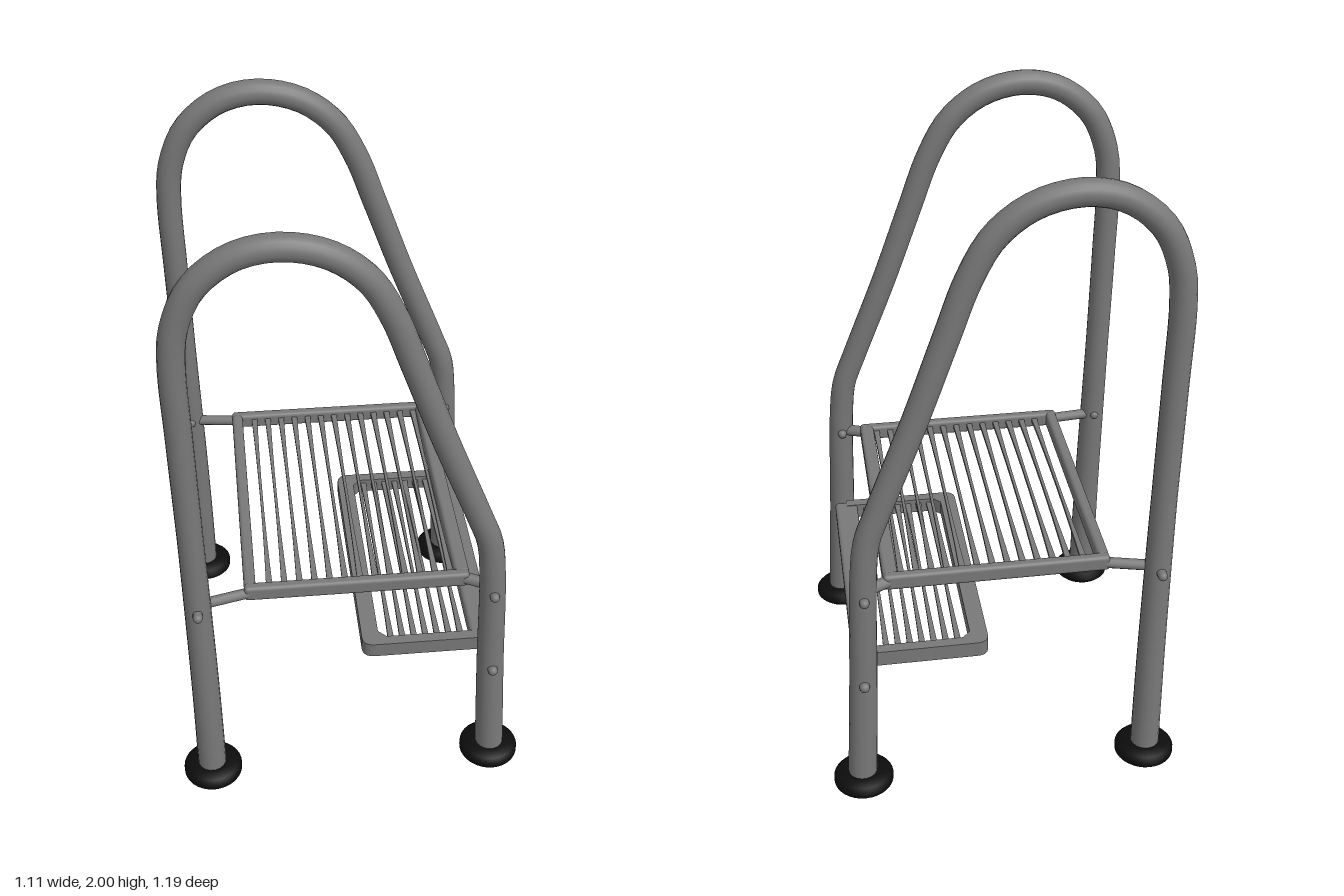
import * as THREE from 'three';
import { RoundedBoxGeometry } from 'three/addons/geometries/RoundedBoxGeometry.js';

export function createModel() {
  const model = new THREE.Group();
  model.name = 'stepLadder';
  const steel = new THREE.MeshStandardMaterial({ color: 0x787878 });
  steel.name = 'grey steel';
  const rubber = new THREE.MeshStandardMaterial({ color: 0x0c0c0c });
  rubber.name = 'black rubber';

  const add = (name, geo, mat, parent = model) => {
    const m = new THREE.Mesh(geo, mat);
    m.name = name;
    parent.add(m);
    return m;
  };
  const bar = (name, parent, x, y, z, w, h, d, r = 0.012) =>
    add(name, new RoundedBoxGeometry(w, h, d, 3, r), steel, parent).position.set(x, y, z);
  const rod = (name, parent, a, b, r) => {
    const path = new THREE.LineCurve3(new THREE.Vector3(...a), new THREE.Vector3(...b));
    add(name, new THREE.TubeGeometry(path, 1, r, 12), steel, parent);
    for (const p of [a, b]) add(name + 'End', new THREE.SphereGeometry(r, 12, 8), steel, parent).position.set(...p);
  };

  // Bent handrail whose two ends are the legs: x, y and distance from the centre
  const railPoints = [
    [-0.465, 0.02, 0.5], [-0.468, 0.4, 0.488], [-0.477, 0.9, 0.471], [-0.487, 1.35, 0.465],
    [-0.491, 1.62, 0.465], [-0.478, 1.73, 0.465], [-0.425, 1.85, 0.465], [-0.32, 1.935, 0.465],
    [-0.2, 1.96, 0.465], [-0.07, 1.93, 0.464], [0.035, 1.85, 0.463], [0.105, 1.73, 0.464],
    [0.165, 1.57, 0.466], [0.26, 1.31, 0.47], [0.375, 1.02, 0.477], [0.412, 0.92, 0.479],
    [0.427, 0.8, 0.483], [0.443, 0.42, 0.49], [0.462, 0.02, 0.5],
  ];
  for (const side of [1, -1]) {
    const path = new THREE.CatmullRomCurve3(railPoints.map(([x, y, z]) => new THREE.Vector3(x, y, z * side)));
    const geo = new THREE.TubeGeometry(path, 120, 0.039, 18);
    // Thicken the legs slightly toward the floor
    const p = geo.attributes.position, n = geo.attributes.normal;
    for (let i = 0; i < p.count; i++) {
      const grow = 0.007 * THREE.MathUtils.clamp((1 - p.getY(i)) / 0.9, 0, 1);
      p.setXYZ(i, p.getX(i) + n.getX(i) * grow, p.getY(i), p.getZ(i) + n.getZ(i) * grow);
    }
    add('handrail', geo, steel);

    // Round rubber feet
    const foot = [[0, 0], [0.085, 0], [0.095, 0.01], [0.095, 0.026], [0.083, 0.04], [0.05, 0.046], [0, 0.046]]
      .map(([x, y]) => new THREE.Vector2(x, y));
    for (const x of [-0.463, 0.459])
      add('foot', new THREE.LatheGeometry(foot, 32), rubber).position.set(x, 0, 0.5 * side);
  }

  // Thin cross slats, pinched toward the middle
  const addSlats = (parent, from, to, count, y, half) => {
    for (let i = 0; i < count; i++) {
      const geo = new THREE.BoxGeometry(0.02, 0.012, half * 2, 1, 1, 8);
      const p = geo.attributes.position;
      for (let k = 0; k < p.count; k++) {
        const t = Math.abs(p.getZ(k)) / half;
        p.setX(k, p.getX(k) * (0.45 + 0.55 * t * t));
      }
      geo.computeVertexNormals();
      add('slat', geo, steel, parent).position.set(from + (to - from) * i / (count - 1), y, 0);
    }
  };

  // Upper step
  const upper = new THREE.Group();
  upper.name = 'upperStep';
  model.add(upper);
  bar('rearBar', upper, -0.312, 0.738, 0, 0.036, 0.052, 0.87);
  bar('frontBar', upper, 0.344, 0.738, 0, 0.046, 0.052, 0.87);
  addSlats(upper, -0.252, 0.31, 13, 0.742, 0.43);
  for (const s of [1, -1]) {
    bar('sideBar', upper, 0.018, 0.738, 0.437 * s, 0.696, 0.052, 0.034);
    rod('rearBracket', upper, [-0.46, 0.727, 0.465 * s], [-0.31, 0.735, 0.437 * s], 0.017);
    rod('frontBracket', upper, [0.35, 0.737, 0.437 * s], [0.43, 0.733, 0.475 * s], 0.019);
    for (const x of [-0.474, 0.43])
      rod('bolt', upper, [x, 0.733, 0.44 * s], [x, 0.733, 0.532 * s], 0.015);
  }

  // Lower step
  const lower = new THREE.Group();
  lower.name = 'lowerStep';
  model.add(lower);
  bar('frontBar', lower, 0.432, 0.432, 0, 0.078, 0.05, 0.85);
  // Rear bar and sides form one rounded U-shaped frame
  const u = new THREE.Shape();
  u.moveTo(0.43, -0.43); u.lineTo(0.08, -0.43);
  u.quadraticCurveTo(0.04, -0.43, 0.04, -0.39);
  u.lineTo(0.04, 0.39); u.quadraticCurveTo(0.04, 0.43, 0.08, 0.43);
  u.lineTo(0.43, 0.43); u.lineTo(0.43, 0.395); u.lineTo(0.12, 0.395);
  u.lineTo(0.095, 0.37); u.lineTo(0.095, -0.37); u.lineTo(0.12, -0.395); u.lineTo(0.43, -0.395);
  u.closePath();
  const frame = new THREE.ExtrudeGeometry(u, { depth: 0.052, bevelEnabled: false, curveSegments: 8 });
  frame.rotateX(-Math.PI / 2);
  add('frame', frame, steel, lower).position.y = 0.407;
  addSlats(lower, 0.135, 0.362, 7, 0.44, 0.405);
  for (const s of [1, -1])
    rod('bolt', lower, [0.443, 0.417, 0.41 * s], [0.443, 0.417, 0.538 * s], 0.016);

  return model;
}
